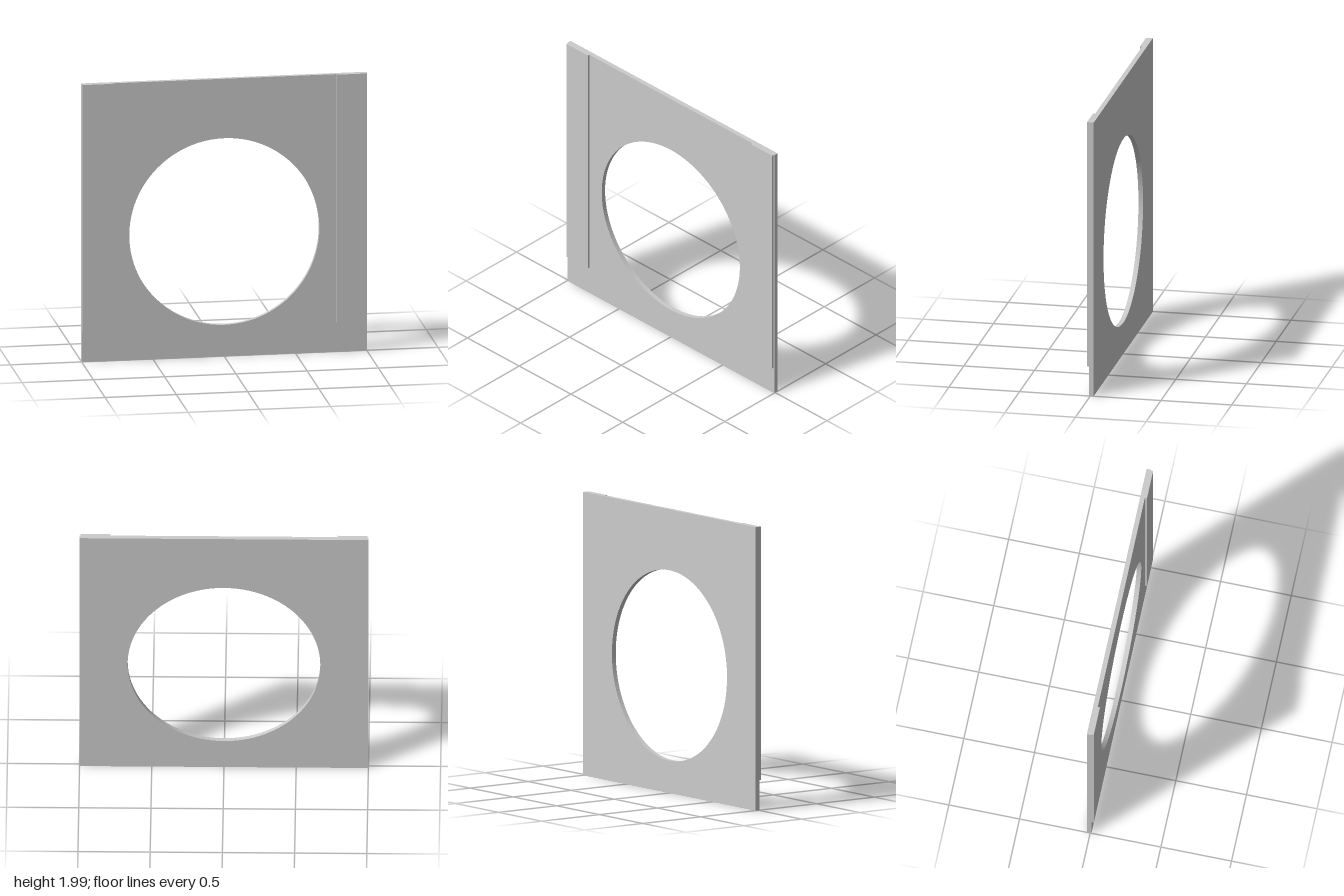
import * as THREE from 'three';

const HEIGHT = 1.985;
const BACK = -0.024, FACE = 0.009, FRONT = 0.024;

export function createModel() {
  const group = new THREE.Group();
  const material = new THREE.MeshStandardMaterial({ color: 0xcccccc });

  // Flat panel with a large round opening set slightly below centre
  const outline = new THREE.Shape();
  outline.moveTo(-1, 0).lineTo(1, 0).lineTo(1, HEIGHT).lineTo(-1, HEIGHT).closePath();
  const opening = new THREE.Path();
  opening.absarc(0, 0.893, 0.667, 0, Math.PI * 2, true);
  outline.holes.push(opening);
  const panelGeometry = new THREE.ExtrudeGeometry(outline, {
    depth: FACE - BACK, bevelEnabled: false, curveSegments: 64,
  });
  const panel = new THREE.Mesh(panelGeometry, material);
  panel.name = 'panel';
  panel.position.z = BACK;
  group.add(panel);

  // Raised strips down both sides of the front, stopping above the bottom edge
  const inner = 0.787, outer = 0.994, bottom = 0.21;
  const stripGeometry = new THREE.BoxGeometry(outer - inner, HEIGHT - bottom, FRONT - FACE);
  for (const side of [-1, 1]) {
    const strip = new THREE.Mesh(stripGeometry, material);
    strip.name = side > 0 ? 'leftStrip' : 'rightStrip';
    strip.position.set(side * (inner + outer) / 2, (HEIGHT + bottom) / 2, (FRONT + FACE) / 2);
    group.add(strip);
  }
  return group;
}
